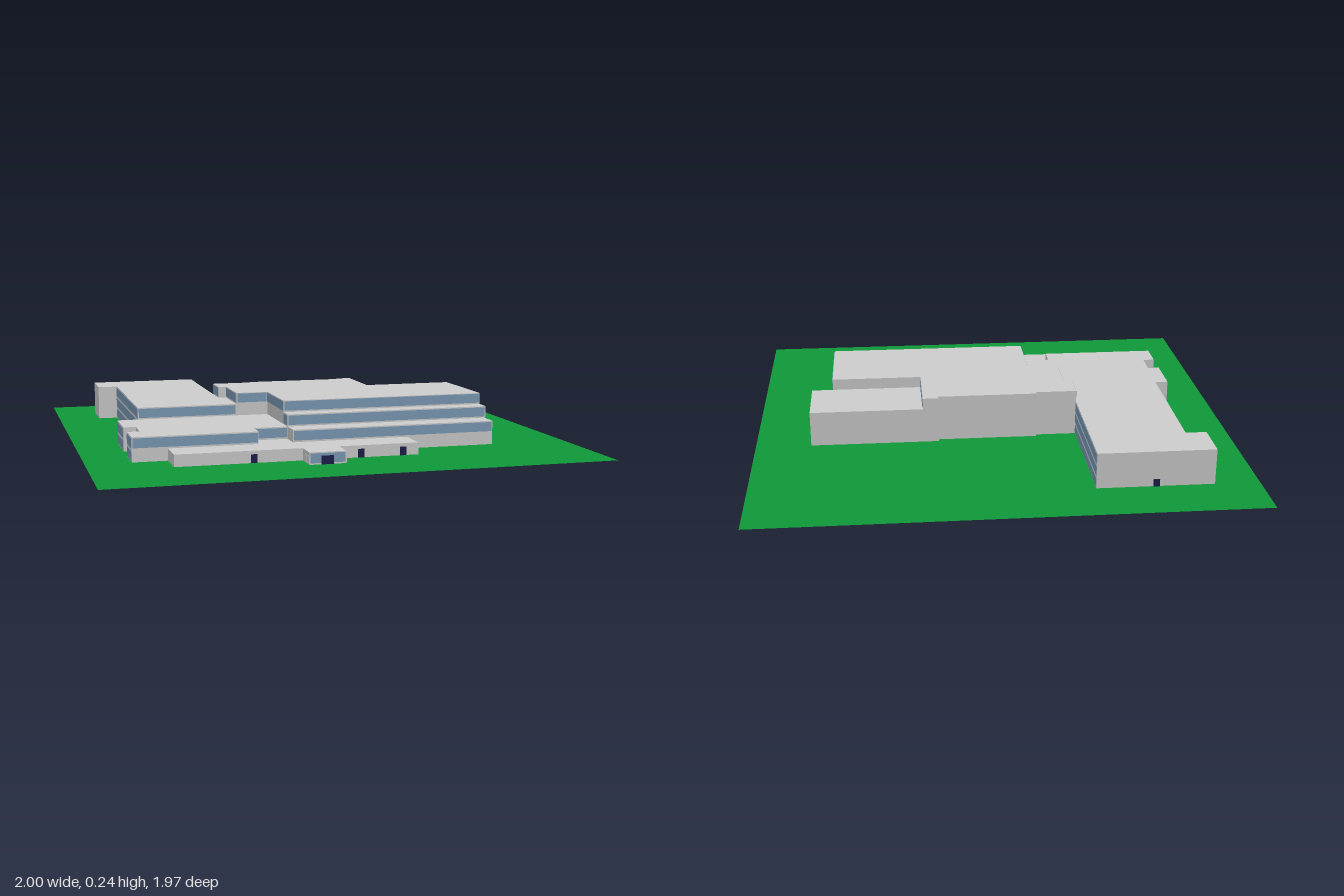
import * as THREE from 'three';

const concrete = new THREE.MeshStandardMaterial({ color: 0xcccccc });
const grass = new THREE.MeshStandardMaterial({ color: 0x109838, side: THREE.DoubleSide });
const glass = new THREE.MeshStandardMaterial({ color: 0x7a9ab5 });
const navy = new THREE.MeshStandardMaterial({ color: 0x1c1c4a });
const white = new THREE.MeshStandardMaterial({ color: 0xffffff });
const GROUND = 0.05, STOREY = 0.049;

export function createModel() {
  const model = new THREE.Group();

  // A flat-roofed block: plan outline in (x, z), standing on y = 0
  const block = (name, height, outline) => {
    const shape = new THREE.Shape(outline.map(([x, z]) => new THREE.Vector2(x, -z)));
    const geo = new THREE.ExtrudeGeometry(shape, { depth: height, bevelEnabled: false });
    const mesh = new THREE.Mesh(geo.rotateX(-Math.PI / 2), concrete);
    mesh.name = name;
    model.add(mesh);
  };
  const rect = (x0, x1, z0, z1) => [[x0, z0], [x1, z0], [x1, z1], [x0, z1]];

  // A thin panel on a wall that faces along 'x' or 'z', running from a to b
  const panel = (name, axis, at, a, b, y0, y1, material) => {
    const along = b - a, mid = (a + b) / 2, h = y1 - y0, t = 0.004;
    const geo = axis === 'z' ? new THREE.BoxGeometry(along, h, t) : new THREE.BoxGeometry(t, h, along);
    const mesh = new THREE.Mesh(geo, material);
    mesh.name = name;
    mesh.position.set(axis === 'z' ? mid : at, (y0 + y1) / 2, axis === 'z' ? at : mid);
    model.add(mesh);
  };
  // Window bands on storeys first..last (0 is at ground level)
  const windows = (axis, at, a, b, first, last) => {
    for (let f = first; f <= last; f++) {
      const y = GROUND + f * STOREY;
      panel('windowBand', axis, at, a + 0.004, b - 0.004, y + 0.006, y + 0.044, glass);
    }
  };

  // Lawn, with the basement reaching below it
  const lawn = new THREE.Mesh(new THREE.PlaneGeometry(2, 1.97).rotateX(-Math.PI / 2), grass);
  lawn.name = 'lawn';
  lawn.position.y = GROUND;
  model.add(lawn);

  // Building masses
  block('mainHall', 0.244, [
    [-0.35, -0.215], [-0.18, -0.215], [-0.18, -0.23], [0.235, -0.23], [0.235, -0.248], [0.3, -0.248],
    [0.3, 0.01], [0.68, 0.01], [0.68, 0.38], [-0.18, 0.38], [-0.18, 0.105], [-0.315, 0.105],
    [-0.315, -0.1], [-0.35, -0.1],
  ]);
  block('upperTerrace', 0.197, rect(-0.18, 0.68, 0.38, 0.443));
  block('lowerTerrace', 0.148, rect(-0.18, 0.675, 0.443, 0.527));
  block('eastWing', 0.197, rect(0.3, 0.77, -0.248, 0.01));
  block('northWing', 0.197, [
    [-0.82, -0.76], [-0.35, -0.76], [-0.35, -0.1], [-0.315, -0.1], [-0.315, 0.105],
    [-0.735, 0.105], [-0.735, -0.588], [-0.82, -0.588],
  ]);
  block('westWing', 0.148, [
    [-0.82, 0.105], [-0.18, 0.105], [-0.18, 0.443], [-0.32, 0.443], [-0.32, 0.527],
    [-0.82, 0.527], [-0.82, 0.4], [-0.77, 0.4], [-0.77, 0.29], [-0.82, 0.29],
  ]);
  block('frontHall', 0.098, [
    [-0.68, 0.527], [-0.32, 0.527], [-0.32, 0.443], [-0.18, 0.443], [-0.18, 0.527], [0.3, 0.527],
    [0.3, 0.66], [-0.03, 0.66], [-0.03, 0.755], [-0.177, 0.755], [-0.177, 0.66], [-0.68, 0.66],
  ]);

  // Front window bands
  windows('z', 0.38, -0.18, 0.68, 3, 3);
  windows('z', 0.105, -0.315, -0.18, 3, 3);
  windows('z', 0.105, -0.735, -0.315, 2, 2);
  windows('z', 0.443, -0.18, 0.68, 2, 2);
  windows('z', 0.443, -0.32, -0.18, 1, 1);
  windows('z', 0.527, -0.18, 0.675, 1, 1);
  windows('z', 0.527, -0.82, -0.32, 1, 1);
  windows('z', 0.755, -0.177, -0.03, 0, 0);

  // East window bands
  windows('x', 0.68, 0.2, 0.38, 0, 3);
  windows('x', 0.68, 0.01, 0.2, 3, 3);
  windows('x', 0.3, -0.248, 0.01, 3, 3);
  windows('x', 0.68, 0.38, 0.443, 0, 2);
  windows('x', 0.675, 0.443, 0.527, 0, 1);
  windows('x', -0.35, -0.76, -0.215, 0, 2);
  windows('x', 0.3, 0.527, 0.66, 0, 0);

  // West window bands
  windows('x', -0.735, -0.588, 0.105, 0, 2);
  windows('x', -0.35, -0.215, -0.1, 3, 3);
  windows('x', -0.315, -0.1, 0.105, 3, 3);
  windows('x', -0.18, 0.105, 0.38, 3, 3);
  windows('x', -0.18, 0.38, 0.443, 2, 2);
  windows('x', -0.82, 0.105, 0.29, 0, 1);
  windows('x', -0.82, 0.4, 0.527, 0, 1);

  // Doors
  for (const x of [-0.37, 0.06, 0.235]) panel('frontDoor', 'z', 0.661, x - 0.013, x + 0.013, GROUND, 0.084, navy);
  panel('porchDoor', 'z', 0.756, -0.13, -0.08, GROUND, 0.084, navy);
  panel('sideDoor', 'x', 0.301, 0.59, 0.62, GROUND, 0.084, navy);
  panel('backDoor', 'z', -0.761, -0.6, -0.575, GROUND, 0.08, navy);

  // Porch side windows
  for (const x of [-0.177, -0.03])
    for (const z of [0.708, 0.74]) panel('porchWindow', 'x', x, z - 0.013, z + 0.013, 0.053, 0.083, white);

  return model;
}
